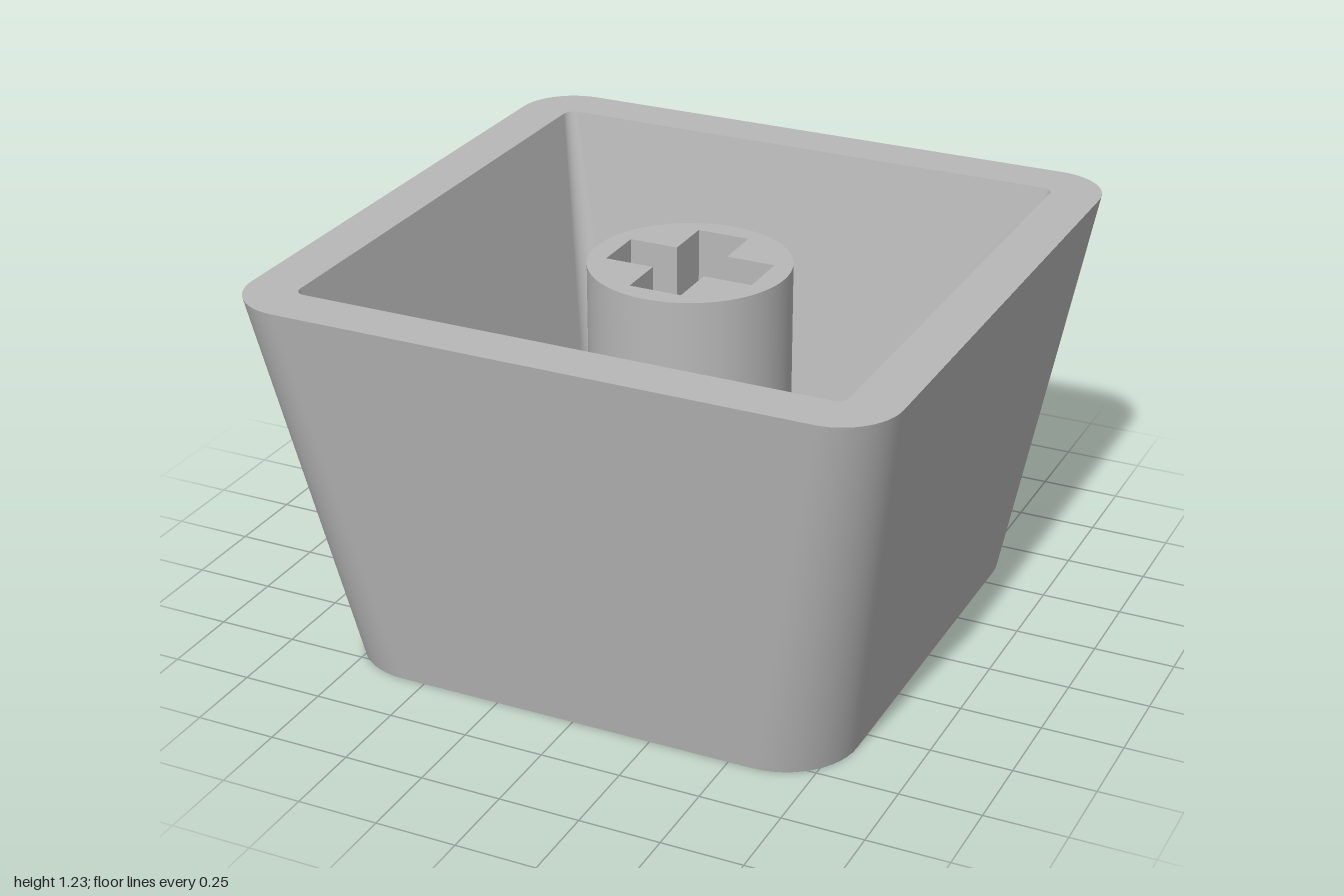
import * as THREE from 'three';
import { toCreasedNormals } from 'three/addons/utils/BufferGeometryUtils.js';

const HEIGHT = 1.225, FLOOR = 0.16, STEM_TOP = 1.152;
const DOT_RADIUS = 0.077, DOT_DEPTH = 0.05, DOT_XS = [-0.4, -0.133, 0.133, 0.4];
const STEPS = 12;

// Rounded square outline: half width h, corner radius r
function outline(h, r) {
  const points = [];
  for (let corner = 0; corner < 4; corner++) {
    const mid = (corner + 0.5) * Math.PI / 2;
    const cx = Math.sign(Math.cos(mid)) * (h - r);
    const cy = Math.sign(Math.sin(mid)) * (h - r);
    for (let i = 0; i <= STEPS; i++) {
      const a = (corner + i / STEPS) * Math.PI / 2;
      points.push(new THREE.Vector2(cx + r * Math.cos(a), cy + r * Math.sin(a)));
    }
  }
  return points;
}

// Tapered wall between two outlines, with exact smooth normals
function wall(low, lowY, high, highY, inward) {
  const pos = [], nor = [], index = [], n = low.length;
  for (let i = 0; i < n; i++) {
    const a = (Math.floor(i / (STEPS + 1)) + (i % (STEPS + 1)) / STEPS) * Math.PI / 2;
    const rise = new THREE.Vector3(high[i].x - low[i].x, highY - lowY, high[i].y - low[i].y);
    const normal = rise.cross(new THREE.Vector3(-Math.sin(a), 0, Math.cos(a))).normalize();
    if (inward) normal.negate();
    pos.push(low[i].x, lowY, low[i].y, high[i].x, highY, high[i].y);
    nor.push(...normal.toArray(), ...normal.toArray());
    const b = 2 * i, c = 2 * ((i + 1) % n);
    if (inward) index.push(b, c, b + 1, b + 1, c, c + 1);
    else index.push(b, b + 1, c, b + 1, c + 1, c);
  }
  const geo = new THREE.BufferGeometry();
  geo.setAttribute('position', new THREE.Float32BufferAttribute(pos, 3));
  geo.setAttribute('normal', new THREE.Float32BufferAttribute(nor, 3));
  geo.setIndex(index);
  return geo;
}

// Flat horizontal face facing up or down
function plate(points, holes, y, up) {
  const shape = new THREE.Shape(points);
  shape.holes = holes;
  return new THREE.ShapeGeometry(shape, 32).rotateX(up ? -Math.PI / 2 : Math.PI / 2).translate(0, y, 0);
}

export function createModel() {
  const group = new THREE.Group();
  const grey = new THREE.MeshStandardMaterial({ color: 0xb8b8b8, side: THREE.DoubleSide });
  grey.name = 'light grey';
  const add = (name, geo) => {
    const mesh = new THREE.Mesh(geo, grey);
    mesh.name = name;
    group.add(mesh);
    return mesh;
  };

  const outerLow = outline(0.805, 0.23), outerHigh = outline(1, 0.18);
  const innerLow = outline(0.648, 0.09), innerHigh = outline(0.845, 0.035);

  // Hollow tapered shell
  add('outerWall', wall(outerLow, 0, outerHigh, HEIGHT, false));
  add('innerWall', wall(innerLow, FLOOR, innerHigh, HEIGHT, true));
  add('rim', plate(outerHigh, [new THREE.Path(innerHigh)], HEIGHT, true));
  add('innerFloor', plate(innerLow, [], FLOOR, true));

  // Underside with a row of four shallow round dimples
  const dots = DOT_XS.map((x) => new THREE.Path().absarc(x, 0, DOT_RADIUS, 0, Math.PI * 2, true));
  add('underside', plate(outerLow, dots, 0, false));
  for (const x of DOT_XS) {
    add('dimpleWall', new THREE.CylinderGeometry(DOT_RADIUS, DOT_RADIUS, DOT_DEPTH, 32, 1, true)
      .translate(x, DOT_DEPTH / 2, 0));
    add('dimpleEnd', new THREE.CircleGeometry(DOT_RADIUS, 32).rotateX(Math.PI / 2).translate(x, DOT_DEPTH, 0));
  }

  // Round stem with a cross-shaped socket
  const stem = new THREE.Shape().absarc(0, 0, 0.308, 0, Math.PI * 2, false);
  const l = 0.238, w = 0.083, cross = [];
  for (let k = 0; k < 4; k++) {
    for (const [x, y] of [[w, w], [w, l], [-w, l]]) {
      cross.push(new THREE.Vector2(x, y).rotateAround(new THREE.Vector2(), k * Math.PI / 2));
    }
  }
  stem.holes.push(new THREE.Path(cross));
  const stemGeo = new THREE.ExtrudeGeometry(stem, { depth: STEM_TOP - FLOOR, bevelEnabled: false, curveSegments: 48 });
  add('stem', toCreasedNormals(stemGeo, 0.5).rotateX(-Math.PI / 2).translate(0, FLOOR, 0));

  return group;
}
